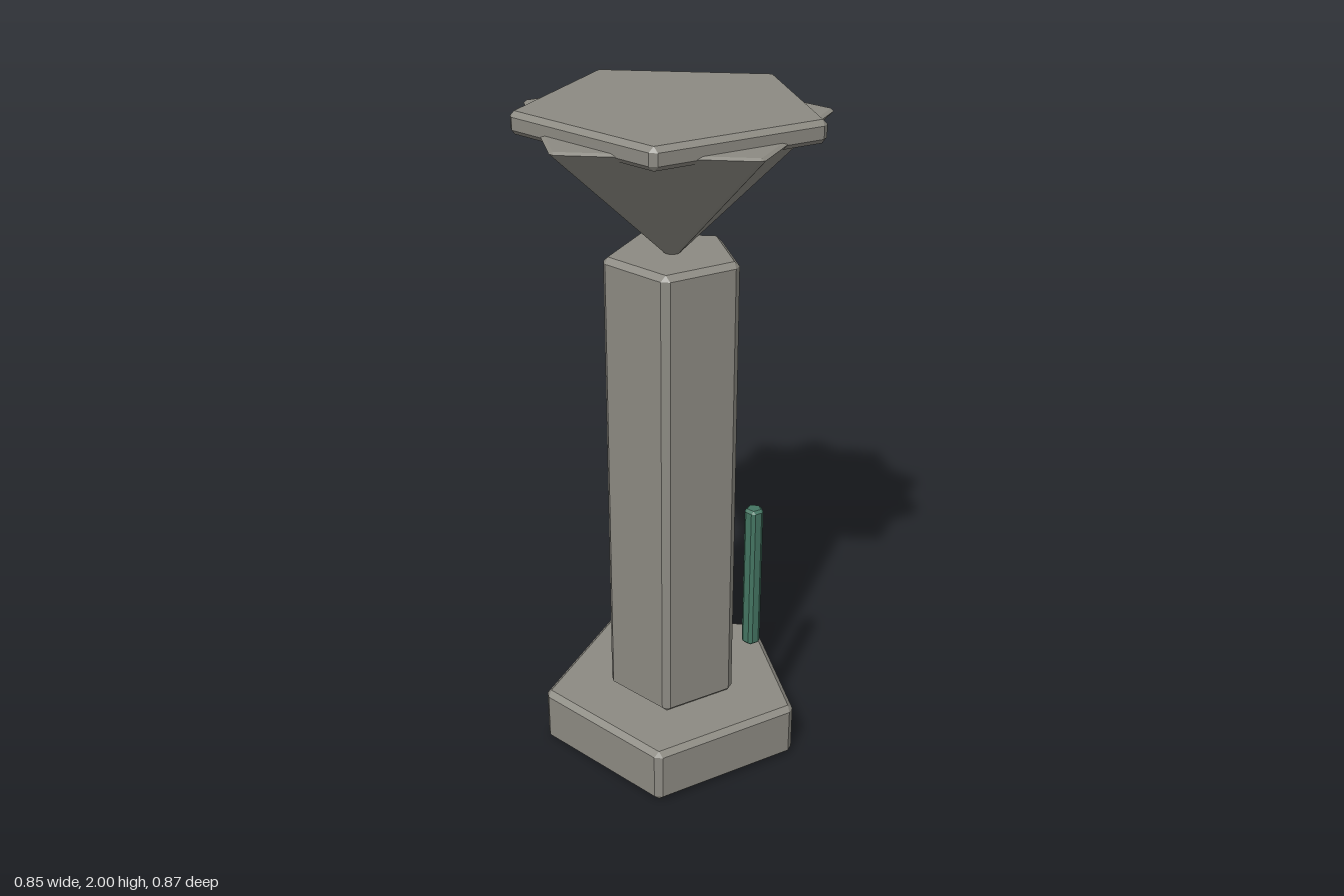
import * as THREE from 'three';
import { ConvexGeometry } from 'three/addons/geometries/ConvexGeometry.js';

const STEP = (Math.PI * 2) / 5;

// Five corners at height y; turn = PI puts one corner at the back, 0 at the front
function pentagon(radius, y, turn) {
  return Array.from({ length: 5 }, (_, i) => {
    const a = turn + i * STEP;
    return new THREE.Vector3(Math.sin(a) * radius, y, Math.cos(a) * radius);
  });
}

// Ten points: the pentagon with each corner cut back by b along both edges
function cutPentagon(radius, y, turn, b) {
  const corners = pentagon(radius, y, turn);
  return corners.flatMap((c, i) => [1, 4].map((k) => {
    const along = corners[(i + k) % 5].clone().sub(c).normalize();
    return c.clone().addScaledVector(along, b);
  }));
}

// Pentagonal prism with every edge chamfered by b
function chamferedPrism(radius, y0, y1, b) {
  const inner = radius - b / Math.cos(STEP / 2);
  return new ConvexGeometry([
    ...pentagon(inner, y0, Math.PI),
    ...cutPentagon(radius, y0 + b, Math.PI, b),
    ...cutPentagon(radius, y1 - b, Math.PI, b),
    ...pentagon(inner, y1, Math.PI),
  ]);
}

export function createModel() {
  const group = new THREE.Group();
  const stone = new THREE.MeshStandardMaterial({ color: 0x8c8a82 });
  stone.name = 'grey stone';
  const green = new THREE.MeshStandardMaterial({ color: 0x437461 });
  green.name = 'green crystal';

  function add(name, geometry, material, x, z) {
    const mesh = new THREE.Mesh(geometry, material);
    mesh.name = name;
    mesh.position.set(x, 0, z);
    group.add(mesh);
  }

  // Base and column
  add('base', chamferedPrism(0.406, 0, 0.175, 0.016), stone, 0, -0.009);
  add('column', chamferedPrism(0.202, 0.175, 1.585, 0.016), stone, 0, -0.007);

  // Inverted pyramid balanced on its tip, corner to the front
  add('invertedPyramid', new ConvexGeometry([
    ...cutPentagon(0.022, 1.58, 0, 0.008),
    ...cutPentagon(0.449, 1.954, 0, 0.01),
    ...pentagon(0.437, 1.96, 0),
  ]), stone, 0, -0.012);

  // Cap plate, corner to the back
  add('capPlate', chamferedPrism(0.435, 1.938, 2, 0.014), stone, 0, -0.011);

  // Floating green rods
  add('frontRod', chamferedPrism(0.031, 0.355, 0.82, 0.008), green, 0.17, 0.173);
  add('backRod', chamferedPrism(0.038, 0.505, 1.145, 0.009), green, -0.013, -0.231);

  return group;
}
